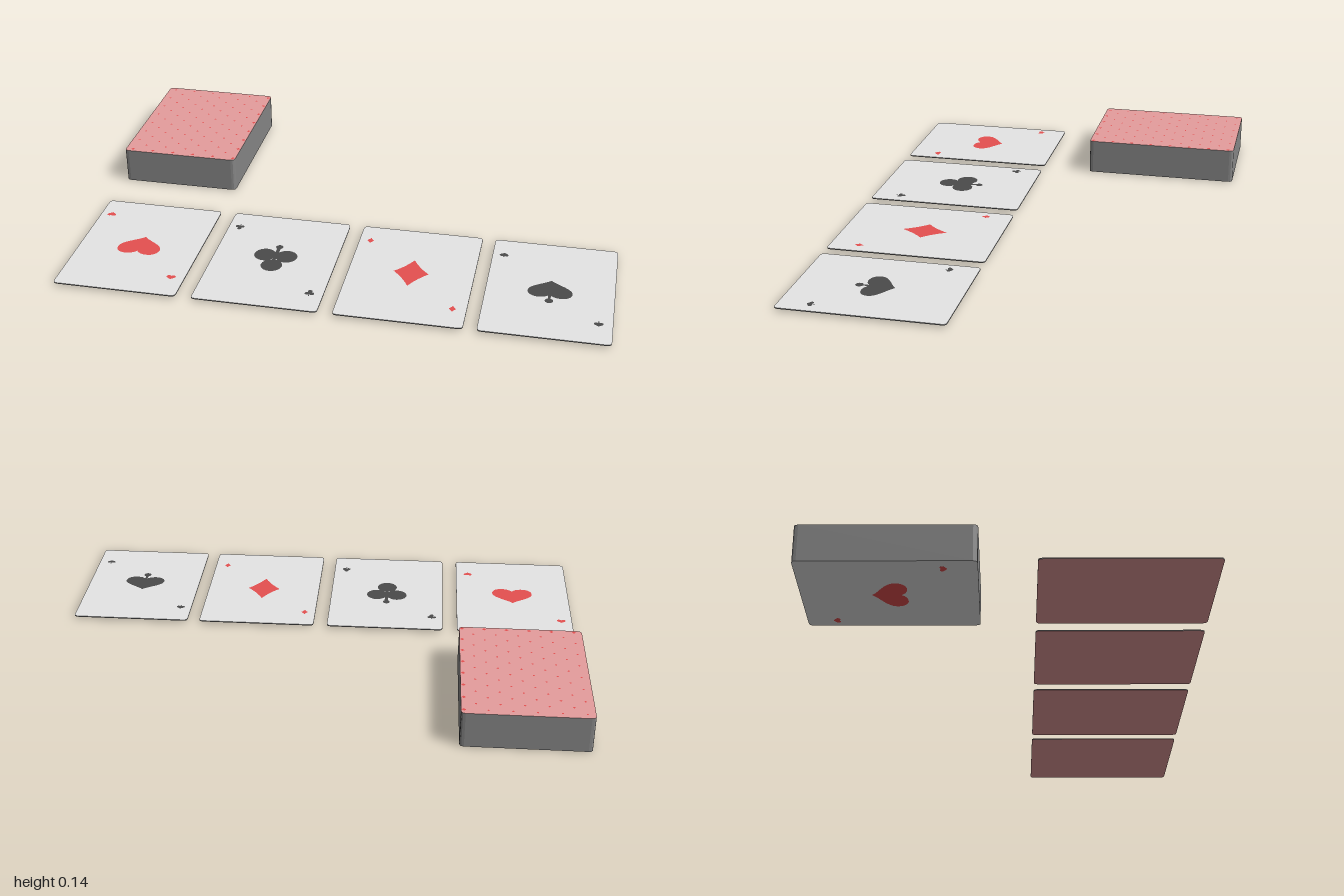
import * as THREE from 'three';
import { mergeGeometries } from 'three/addons/utils/BufferGeometryUtils.js';

const W = 0.46, D = 0.605, R = 0.016;

const paint = (name, color) => {
  const m = new THREE.MeshStandardMaterial({ color });
  m.name = name;
  return m;
};

// Rounded rectangle outline shared by the cards and the deck
function cardOutline() {
  const x = W / 2, y = D / 2, s = new THREE.Shape();
  s.moveTo(-x + R, -y);
  s.lineTo(x - R, -y).quadraticCurveTo(x, -y, x, -y + R);
  s.lineTo(x, y - R).quadraticCurveTo(x, y, x - R, y);
  s.lineTo(-x + R, y).quadraticCurveTo(-x, y, -x, y - R);
  s.lineTo(-x, -y + R).quadraticCurveTo(-x, -y, -x + R, -y);
  return s;
}

// Slab with separate materials for underside, top and edge
function slab(height, bottom, top, edge) {
  const g = new THREE.ExtrudeGeometry(cardOutline(), { depth: height, bevelEnabled: false, curveSegments: 3 });
  const [lids, sides] = g.groups;
  const half = lids.count / 2;
  g.clearGroups();
  g.addGroup(0, half, 0);
  g.addGroup(half, half, 1);
  g.addGroup(sides.start, sides.count, 2);
  g.rotateX(-Math.PI / 2);
  return new THREE.Mesh(g, [bottom, top, edge]);
}

const disc = (x, y, r) => new THREE.CircleGeometry(r, 20).translate(x, y, 0);

// Two round lobes meeting in a point, the point towards +y
function lobedLeaf() {
  const s = new THREE.Shape();
  s.moveTo(0, 0.06);
  s.bezierCurveTo(-0.02, 0.035, -0.082, 0.015, -0.082, -0.022);
  s.bezierCurveTo(-0.082, -0.07, -0.018, -0.072, 0, -0.04);
  s.bezierCurveTo(0.018, -0.072, 0.082, -0.07, 0.082, -0.022);
  s.bezierCurveTo(0.082, 0.015, 0.02, 0.035, 0, 0.06);
  return new THREE.ShapeGeometry(s, 10);
}

// Flat suit symbols, drawn in x/y and laid down later
const suits = {
  heart: () => lobedLeaf(),
  club: () => mergeGeometries([
    disc(-0.041, 0.027, 0.041), disc(0.041, 0.027, 0.041), disc(0, -0.04, 0.04),
    disc(0, 0.088, 0.014), new THREE.PlaneGeometry(0.014, 0.1).translate(0, 0.04, 0),
  ]),
  diamond: () => {
    const s = new THREE.Shape();
    s.moveTo(0, 0.095);
    s.quadraticCurveTo(-0.028, 0.042, -0.065, 0.01);
    s.quadraticCurveTo(-0.028, -0.025, 0, -0.078);
    s.quadraticCurveTo(0.028, -0.025, 0.065, 0.01);
    s.quadraticCurveTo(0.028, 0.042, 0, 0.095);
    return new THREE.ShapeGeometry(s, 6);
  },
  spade: () => mergeGeometries([
    lobedLeaf().scale(0.98, 0.92, 1), disc(0, -0.076, 0.015),
    new THREE.PlaneGeometry(0.01, 0.05).translate(0, -0.05, 0),
  ]),
};

// One large symbol in the middle and two small ones in opposite corners
function cardMarks(suit, material) {
  const g = new THREE.Group();
  g.name = suit + 'Marks';
  const add = (name, x, z, scale, turn) => {
    const geo = suits[suit]().scale(scale, scale, 1).rotateZ(turn).rotateX(-Math.PI / 2);
    const m = new THREE.Mesh(geo, material);
    m.name = name;
    m.position.set(x, 0, z);
    g.add(m);
  };
  add('centreSymbol', 0, 0, 1, 0);
  add('cornerSymbolBack', -0.187, -0.2, 0.21, 0);
  add('cornerSymbolFront', 0.18, 0.19, 0.21, Math.PI);
  return g;
}

export function createModel() {
  const model = new THREE.Group();
  model.name = 'playingCards';
  const white = paint('cardFace', 0xe6e6e6);
  const pink = paint('cardBack', 0xe69d9d);
  const red = paint('redInk', 0xe65050);
  const black = paint('blackInk', 0x4b4b4b);
  const grey = paint('paperEdge', 0x868686);

  // Four cards lying face up in a row
  const row = [
    ['heart', red, -0.77], ['club', black, -0.252],
    ['diamond', red, 0.262], ['spade', black, 0.77],
  ];
  for (const [suit, ink, x] of row) {
    const card = new THREE.Group();
    card.name = suit + 'Card';
    card.position.set(x, 0.009, 0.4);
    const body = slab(0.004, pink, white, grey);
    body.name = 'cardBody';
    const marks = cardMarks(suit, ink);
    marks.position.y = 0.0055;
    card.add(body, marks);
    model.add(card);
  }

  // Face-down deck with the bottom card showing underneath
  const deck = new THREE.Group();
  deck.name = 'deck';
  deck.position.set(-0.77, 0, -0.4);
  const stack = slab(0.136, white, pink, grey);
  stack.name = 'deckStack';
  stack.position.y = 0.002;
  const under = cardMarks('heart', red);
  under.name = 'bottomCardMarks';
  under.rotation.z = Math.PI;
  deck.add(stack, under);

  // Fine dotted pattern on the back of the top card
  const dots = [];
  for (let i = 0; i < 11; i++) {
    for (let j = 0; j < 15; j++) {
      if ((i + j) % 2) continue;
      const r = i === 10 || j === 14 ? 0.008 : 0.005;
      dots.push(new THREE.CircleGeometry(r, 4).rotateX(-Math.PI / 2)
        .translate(-0.2 + i * 0.042, 0, -0.28 + j * 0.0405));
    }
  }
  const pattern = new THREE.Mesh(mergeGeometries(dots), red);
  pattern.name = 'backPattern';
  pattern.position.y = 0.1395;
  deck.add(pattern);
  model.add(deck);
  return model;
}
